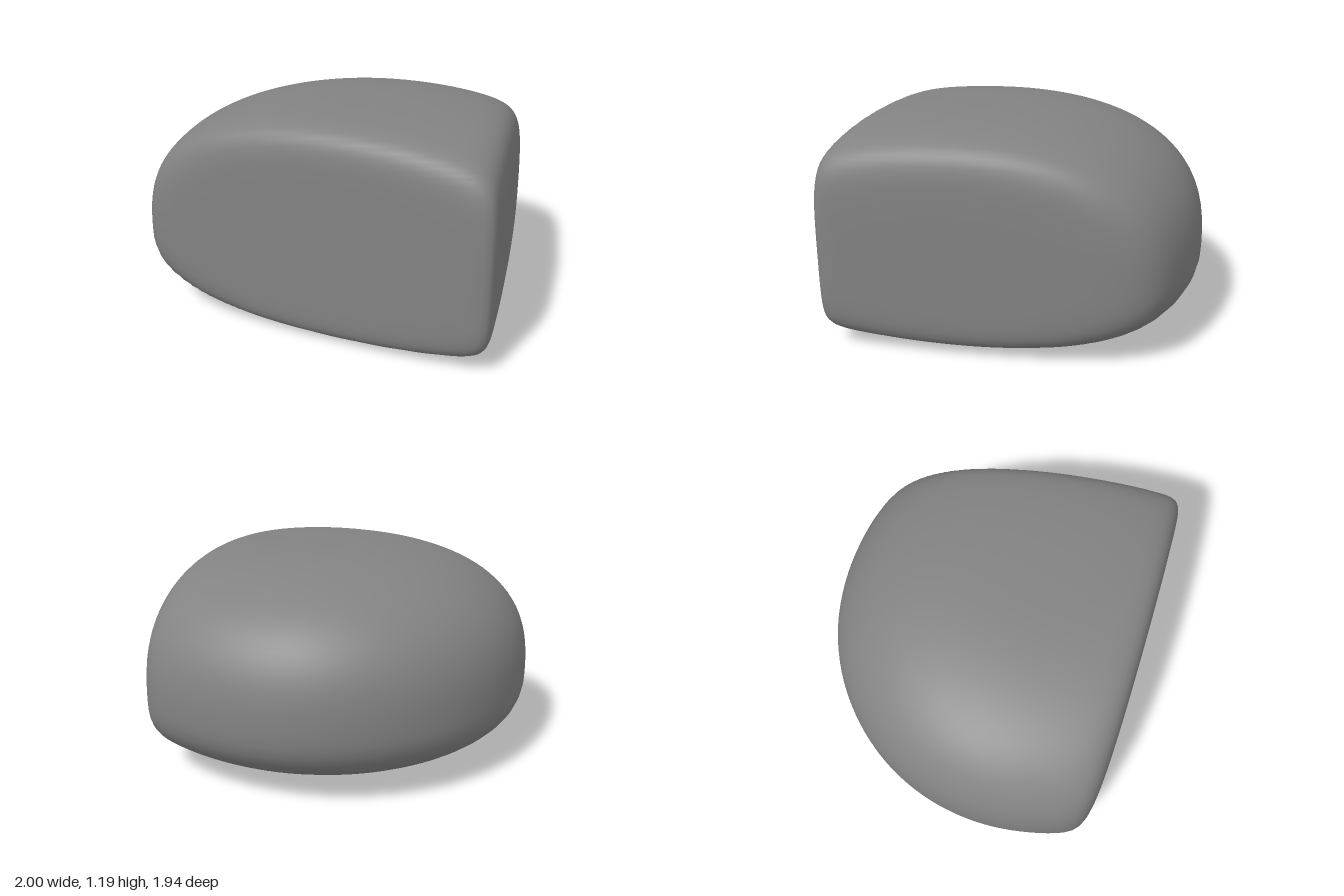
import * as THREE from 'three';
import { mergeVertices } from 'three/addons/utils/BufferGeometryUtils.js';

// Centre of the dome, from which every surface point is pushed outwards
const CENTRE = new THREE.Vector3(0.2, 0.44, 0.25);

// Soft maximum: larger n gives a tighter rounded edge
const softMax = (a, b, n) => Math.pow(Math.pow(a, n) + Math.pow(b, n), 1 / n);

// Distance of a direction vector relative to the surface (1 = on the surface)
function gauge(x, y, z) {
  // Flattened dome with a different radius on each side
  const dx = x / (x < 0 ? 1.2 : 1.36);
  const dy = Math.abs(y) / (y < 0 ? 0.435 : 0.755);
  const dz = z / (z < 0 ? 1.22 : 1.42);
  const dome = softMax(Math.hypot(dx, dz), dy, 2.6);
  // Two flat cuts: the straight side and the slightly slanted front
  const side = Math.max(0, x / 0.802);
  const front = Math.max(0, (z - 0.157 * x) / 0.615);
  return softMax(dome, softMax(side, front, 20), 13);
}

export function createModel() {
  const group = new THREE.Group();
  group.name = 'roundedBlock';

  // Finely divided box whose vertices are moved onto the rounded surface
  const box = new THREE.BoxGeometry(1.6, 1.2, 1.4, 40, 32, 40);
  box.deleteAttribute('normal');
  box.deleteAttribute('uv');
  const geometry = mergeVertices(box, 1e-4);
  const pos = geometry.attributes.position;
  const v = new THREE.Vector3();
  for (let i = 0; i < pos.count; i++) {
    v.fromBufferAttribute(pos, i);
    v.divideScalar(gauge(v.x, v.y, v.z)).add(CENTRE);
    pos.setXYZ(i, v.x, v.y, v.z);
  }

  // Rest on the ground, centred
  geometry.computeBoundingBox();
  const { min, max } = geometry.boundingBox;
  geometry.translate(-(min.x + max.x) / 2, -min.y, -(min.z + max.z) / 2);
  geometry.computeVertexNormals();

  const stone = new THREE.Mesh(geometry, new THREE.MeshStandardMaterial({ color: 0x828282 }));
  stone.name = 'stoneBody';
  group.add(stone);
  return group;
}
